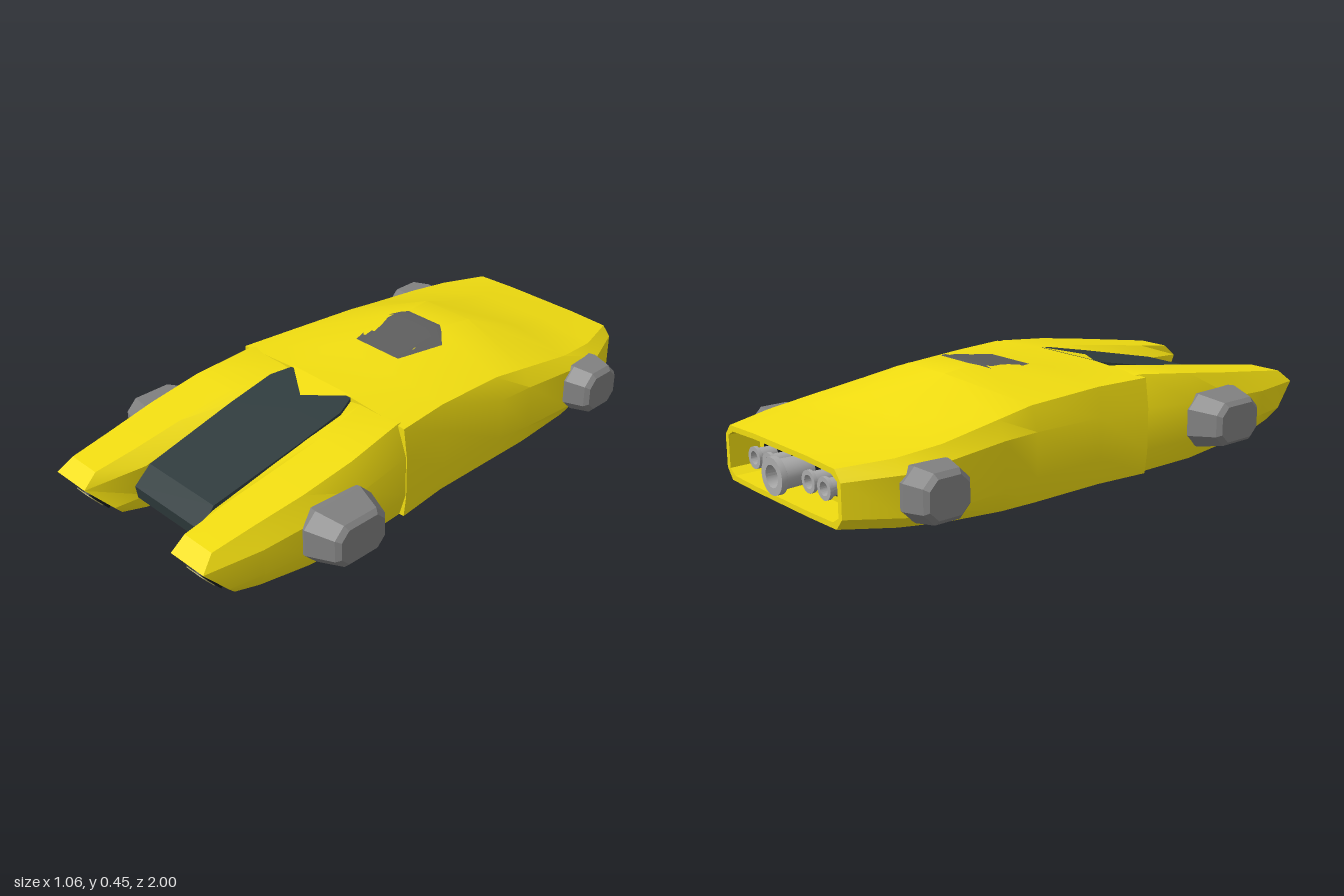
import * as THREE from 'three';
import { toCreasedNormals } from 'three/addons/utils/BufferGeometryUtils.js';

const paint = (color, extra = {}) => new THREE.MeshStandardMaterial({ color, ...extra });
const yellow = paint(0xf0dc10);
const glass = paint(0x2f3b3d);
const grey = paint(0x808080, { flatShading: true });
const darkGrey = paint(0x5c5c5c, { side: THREE.DoubleSide });
const black = paint(0x161a1a);
const metal = paint(0xaaaaaa, { side: THREE.DoubleSide });
const beige = paint(0xa8a060);

// Skins rings of [x, y, z] (counter-clockwise from +z, listed back to front) and caps both ends.
function loft(rings, crease = 0.45) {
  const n = rings[0].length, pos = [];
  const quad = (a, b, c, d) => [a, b, c, a, c, d].forEach(p => pos.push(...p));
  for (let k = 0; k < rings.length - 1; k++) {
    const r = rings[k], f = rings[k + 1];
    for (let i = 0; i < n; i++) quad(r[i], r[(i + 1) % n], f[(i + 1) % n], f[i]);
  }
  const r0 = rings[0], r1 = rings[rings.length - 1];
  for (let i = 0; i < n / 2 - 1; i++) {
    quad(r0[n - 1 - i], r0[n - 2 - i], r0[i + 1], r0[i]);
    quad(r1[i], r1[i + 1], r1[n - 2 - i], r1[n - 1 - i]);
  }
  const g = new THREE.BufferGeometry();
  g.setAttribute('position', new THREE.Float32BufferAttribute(pos, 3));
  return toCreasedNormals(g, crease);
}

const mirrorRing = half => [...half, ...half.map(([x, y, z]) => [-x, y, z]).reverse()];

// Hull stations: z, roof y, roof half width, shoulder x, y, side x, side top y, side low y, sill x, y, belly y, belly half width
const stations = [
  [-0.97, 0.295, 0.15, 0.30, 0.290, 0.330, 0.255, 0.145, 0.30, 0.108, 0.105, 0.15],
  [-0.80, 0.320, 0.15, 0.355, 0.300, 0.400, 0.260, 0.130, 0.36, 0.090, 0.080, 0.15],
  [-0.64, 0.350, 0.14, 0.370, 0.315, 0.405, 0.270, 0.120, 0.375, 0.072, 0.050, 0.14],
  [-0.42, 0.442, 0.10, 0.360, 0.345, 0.395, 0.285, 0.125, 0.375, 0.055, 0.005, 0.12],
  [-0.28, 0.450, 0.08, 0.355, 0.365, 0.385, 0.285, 0.135, 0.37, 0.050, 0.005, 0.12],
  [0.00, 0.405, 0.12, 0.365, 0.380, 0.382, 0.280, 0.140, 0.37, 0.050, 0.020, 0.14],
  [0.20, 0.397, 0.14, 0.385, 0.382, 0.400, 0.280, 0.130, 0.39, 0.050, 0.035, 0.15],
];

const hullRing = ([z, ty, tx, hx, hy, w, hi, lo, sx, sy, by, bx], inset = 0, zz = z) => mirrorRing([
  [bx, by + inset, zz], [sx - inset, sy + inset, zz], [w - inset, lo, zz],
  [w - inset, hi, zz], [hx - inset, hy - inset, zz], [tx, ty - inset, zz]]);

// Height of the hull's roof (side 1) or belly (side -1)
function hullY(x, z, side) {
  const k = Math.max(0, stations.findIndex(s => s[0] >= z) - 1);
  const a = stations[k], b = stations[k + 1], t = (z - a[0]) / (b[0] - a[0]);
  const s = a.map((v, i) => v + (b[i] - v) * t);
  const [cy, cx, ex, ey] = side > 0 ? [s[1], s[2], s[3], s[4]] : [s[10], s[11], s[8], s[9]];
  const u = Math.max(0, (Math.abs(x) - cx) / (ex - cx));
  return cy + (ey - cy) * u;
}

// Thin panel hugging the hull; rows of [z, half width]
function panel(rows, side) {
  const cols = 10, pos = [], index = [];
  rows.forEach(([z, hw], r) => {
    for (let c = 0; c <= cols; c++) {
      const x = hw * (2 * c / cols - 1);
      pos.push(x, hullY(x, z, side) + side * 0.004, z);
      if (r && c) {
        const d = r * (cols + 1) + c, u = d - cols - 1;
        const q = [u - 1, d - 1, d, u - 1, d, u];
        index.push(...(side > 0 ? q : q.reverse()));
      }
    }
  });
  const g = new THREE.BufferGeometry();
  g.setAttribute('position', new THREE.Float32BufferAttribute(pos, 3));
  g.setIndex(index);
  g.computeVertexNormals();
  return g;
}

// Front arm: z, inner x, outer x, top, bottom, inner ledge y
function armGeometry(side) {
  const rings = [
    [0.10, 0.13, 0.375, 0.370, 0.060, 0.36],
    [0.20, 0.14, 0.396, 0.388, 0.050, 0.38],
    [0.42, 0.168, 0.418, 0.362, 0.060, 0.345],
    [0.62, 0.168, 0.415, 0.332, 0.078, 0.30],
    [0.80, 0.168, 0.400, 0.305, 0.097, 0.262],
  ].map(([z, xi, xo, top, bot, ledge]) => {
    const hi = bot + 0.68 * (top - bot), lo = bot + 0.25 * (top - bot);
    return [[xo - 0.025, bot, z], [xo, lo, z], [xo, hi, z], [xo - 0.04, top, z],
      [xi + 0.05, top, z], [xi, ledge, z], [xi + 0.005, lo, z], [xi + 0.015, bot, z]];
  });
  // Raked tip
  rings.push([[0.36, 0.11, 0.885], [0.38, 0.15, 0.92], [0.37, 0.238, 1.0], [0.35, 0.282, 0.95],
    [0.225, 0.282, 0.95], [0.22, 0.238, 1.0], [0.185, 0.15, 0.92], [0.20, 0.11, 0.885]]);
  return loft(rings.map(r => side > 0 ? r : r.map(([x, y, z]) => [-x, y, z]).reverse()));
}

// Chamfered pod pointing along +z; rings of [z, half length, half height]
const podGeometry = rings => loft(rings.map(([z, a, b]) => {
  const c = 0.5 * b;
  return mirrorRing([[a - c, -b, z], [a, -b + c, z], [a, b - c, z], [a - c, b, z]]);
}), 0.1);

function roundedPlate(w, h, r, depth) {
  const s = new THREE.Shape(), x = w / 2, y = h / 2;
  s.moveTo(-x + r, -y).lineTo(x - r, -y).quadraticCurveTo(x, -y, x, -y + r);
  s.lineTo(x, y - r).quadraticCurveTo(x, y, x - r, y);
  s.lineTo(-x + r, y).quadraticCurveTo(-x, y, -x, y - r);
  s.lineTo(-x, -y + r).quadraticCurveTo(-x, -y, -x + r, -y);
  return new THREE.ExtrudeGeometry(s, { depth, bevelEnabled: false, curveSegments: 6 });
}

// Open exhaust tube pointing to -z
function nozzleGeometry(r, length) {
  const pts = [[r * 0.75, 0], [r * 0.8, length * 0.8], [r, length * 0.85], [r, length],
    [r * 0.6, length], [r * 0.5, length * 0.4], [0, length * 0.4]];
  const g = new THREE.LatheGeometry(pts.map(p => new THREE.Vector2(...p)), 24);
  return toCreasedNormals(g.rotateX(-Math.PI / 2), 0.5);
}

export function createModel() {
  const model = new THREE.Group();
  const add = (name, geometry, material, parent = model) => {
    const m = new THREE.Mesh(geometry, material);
    m.name = name;
    parent.add(m);
    return m;
  };

  // Hull with a recessed tail
  const tail = stations[0];
  add('hull', loft([hullRing(tail, 0.018, -0.86), hullRing(tail, 0.018), ...stations.map(s => hullRing(s))]), yellow);
  add('roofPanel', panel([[-0.30, 0.075], [-0.28, 0.10], [-0.23, 0.15], [-0.065, 0.10]], 1), darkGrey);
  add('bellyPanel', panel([[-0.27, 0.06], [-0.20, 0.12], [-0.07, 0.09]], -1), darkGrey);

  // Dark cabin: z, y, half width of the upper and lower edges
  const cabin = [
    [0.19, 0.397, 0.14, 0.20, 0.030, 0.13],
    [0.27, 0.383, 0.172, 0.36, 0.045, 0.18],
    [0.45, 0.345, 0.172, 0.55, 0.066, 0.18],
    [0.79, 0.270, 0.16, 0.78, 0.092, 0.178],
    [0.85, 0.210, 0.165, 0.84, 0.160, 0.17],
  ].map(([tz, ty, tw, bz, by, bw]) => mirrorRing([[bw, by, bz], [tw, ty, tz]]));
  add('cabin', loft(cabin, 0.25), glass);

  // Pointed roof edge over the windscreen
  const peak = new THREE.BufferGeometry();
  peak.setAttribute('position', new THREE.Float32BufferAttribute(
    [-0.14, 0.4, 0.195, 0, 0.382, 0.29, 0.14, 0.4, 0.195], 3));
  peak.computeVertexNormals();
  add('roofPeak', peak, yellow);

  for (const side of [1, -1]) {
    const name = side > 0 ? 'left' : 'right';
    add(name + 'FrontArm', armGeometry(side), yellow);

    // Headlight set in the raked tip
    const lamp = new THREE.Group();
    lamp.name = name + 'Headlight';
    lamp.position.set(side * 0.283, 0.172, 0.93);
    lamp.rotation.x = 0.69;
    add('lampBezel', roundedPlate(0.115, 0.125, 0.04, 0.03), black, lamp).position.z = -0.012;
    add('lampLens', roundedPlate(0.088, 0.082, 0.03, 0.006), beige, lamp).position.z = 0.016;
    model.add(lamp);

    // Side pods
    const front = add(name + 'FrontPod', podGeometry([[0.36, 0.13, 0.09], [0.42, 0.14, 0.094],
      [0.515, 0.105, 0.076], [0.53, 0.09, 0.062]]), grey);
    front.position.set(0, 0.2, 0.52);
    const rear = add(name + 'RearPod', podGeometry([[0.35, 0.10, 0.08], [0.41, 0.105, 0.086],
      [0.48, 0.085, 0.078], [0.495, 0.072, 0.062]]), grey);
    rear.position.set(0, 0.197, -0.71);
    front.rotation.y = rear.rotation.y = side * Math.PI / 2;

    // Small exhausts
    for (const x of [0.115, 0.2])
      add(name + 'Exhaust', nozzleGeometry(0.036, 0.08), metal).position.set(side * x, 0.2, -0.865);
  }

  add('exhaustPanel', new THREE.BoxGeometry(0.52, 0.1, 0.02), black).position.set(0, 0.2, -0.865);
  add('mainExhaust', nozzleGeometry(0.06, 0.135), metal).position.set(0, 0.2, -0.865);
  return model;
}
